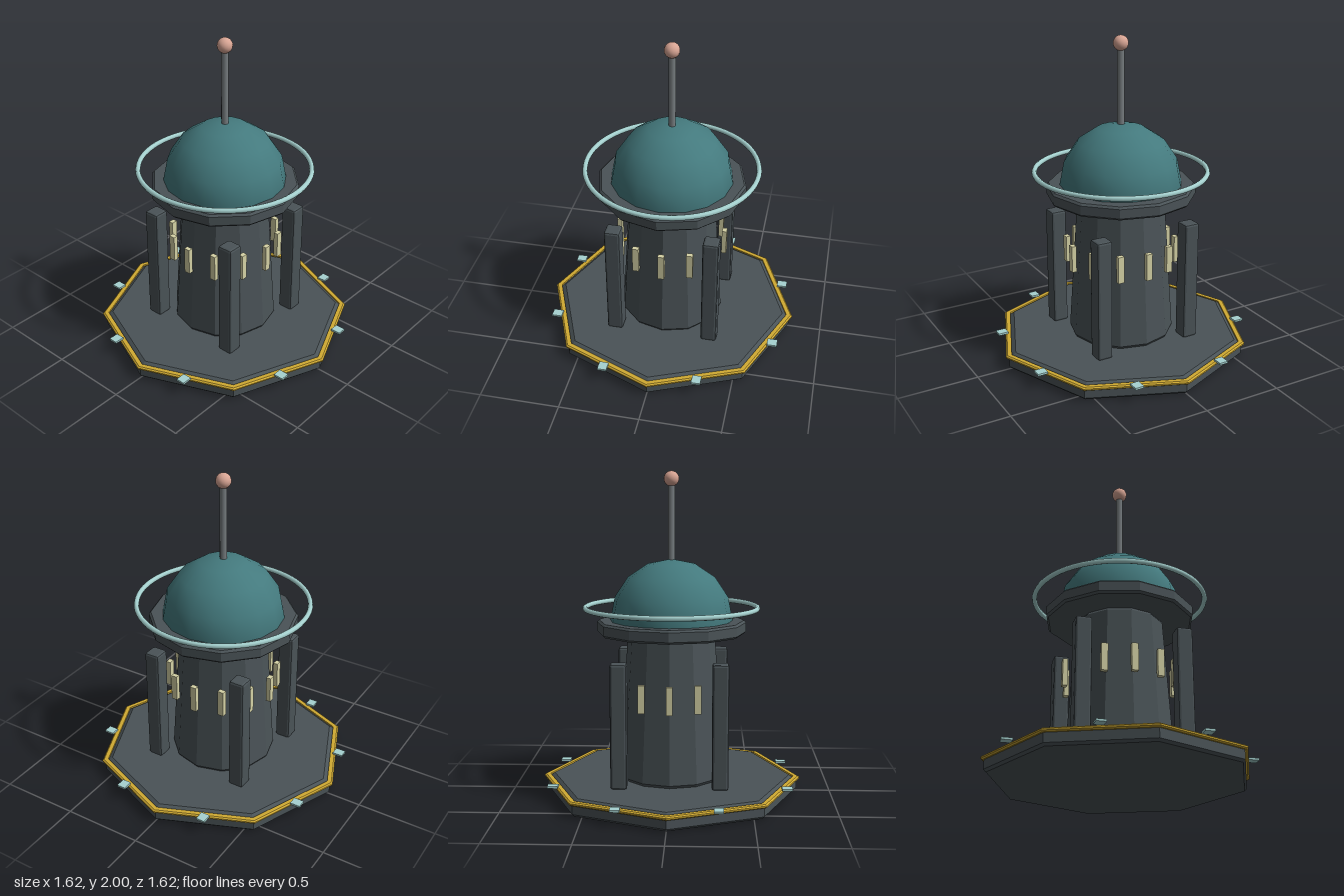
import * as THREE from 'three';
import { RoundedBoxGeometry } from 'three/addons/geometries/RoundedBoxGeometry.js';

const mat = (name, color) => {
  const m = new THREE.MeshStandardMaterial({ color });
  m.name = name;
  return m;
};

// Faceted copy of a geometry: one normal per face
function faceted(geo) {
  const g = geo.index ? geo.toNonIndexed() : geo;
  g.computeVertexNormals();
  return g;
}

// Faceted prism turned from a bottom-to-top profile of [radius, y]
const turned = (profile, sides) =>
  faceted(new THREE.LatheGeometry(profile.map(([r, y]) => new THREE.Vector2(r, y)), sides));

export function createModel() {
  const model = new THREE.Group();
  model.name = 'observatoryTower';

  const slate = mat('slate', 0x4a5357);
  const gold = mat('gold', 0xd0aa32);
  const teal = mat('teal', 0x447a7e);
  const aqua = mat('aqua', 0xa6d2d0);
  const cream = mat('cream', 0xd6d3a6);
  const steel = mat('steel', 0x777d80);
  const copper = mat('copper', 0xd8a594);

  const add = (name, geo, material, x = 0, y = 0, z = 0) => {
    const mesh = new THREE.Mesh(geo, material);
    mesh.name = name;
    mesh.position.set(x, y, z);
    model.add(mesh);
    return mesh;
  };

  // Octagonal platform with chamfered rims and a gold band
  add('platform', turned([[0, 0], [0.775, 0], [0.79, 0.015], [0.79, 0.07], [0.745, 0.1], [0, 0.1]], 8), slate);
  add('platformTrim', turned([[0.772, 0.07], [0.8, 0.07], [0.81, 0.077], [0.81, 0.086], [0.8, 0.093],
    [0.772, 0.093], [0.772, 0.07]], 8), gold);

  // Tapered twelve-sided tower and its collar
  add('tower', turned([[0, 0.1], [0.318, 0.1], [0.33, 0.118], [0.272, 0.983], [0.258, 1.0], [0, 1.0]], 12), slate);
  add('collar', turned([[0, 1.003], [0.45, 1.003], [0.463, 1.016], [0.463, 1.073], [0.45, 1.086], [0, 1.086]], 12), slate);

  // Dome, halo ring and antenna
  add('dome', new THREE.SphereGeometry(0.38, 16, 4, 0, Math.PI * 2, 0, Math.PI / 2), teal, 0, 1.085);
  add('haloRing', new THREE.TorusGeometry(0.533, 0.016, 8, 64), aqua, 0, 1.165).rotation.x = Math.PI / 2;
  add('antennaRod', new THREE.CylinderGeometry(0.022, 0.022, 0.48, 12), steel, 0, 1.69);
  add('antennaTip', new THREE.SphereGeometry(0.047, 16, 12), copper, 0, 1.953);

  // Four square pillars on the diagonals
  const pillar = faceted(new RoundedBoxGeometry(0.1, 0.765, 0.1, 1, 0.014));
  for (const x of [-0.305, 0.305])
    for (const z of [-0.305, 0.305]) add('pillar', pillar, slate, x, 0.4825, z);

  // Places copies in a circle, each squared to the nearest axis
  const circle = (name, geo, material, count, radius, y, offset) => {
    for (let i = 0; i < count; i++) {
      const a = offset + (i / count) * Math.PI * 2;
      const x = Math.sin(a) * radius, z = Math.cos(a) * radius;
      const mesh = add(name, geo, material, x, y, z);
      if (Math.abs(x) > Math.abs(z)) mesh.rotation.y = Math.PI / 2;
    }
  };
  circle('window', new THREE.BoxGeometry(0.04, 0.17, 0.03), cream, 12, 0.34, 0.645, 0);
  circle('platformLight', new THREE.BoxGeometry(0.057, 0.013, 0.064), aqua, 8, 0.77, 0.1, Math.PI / 8);

  return model;
}
